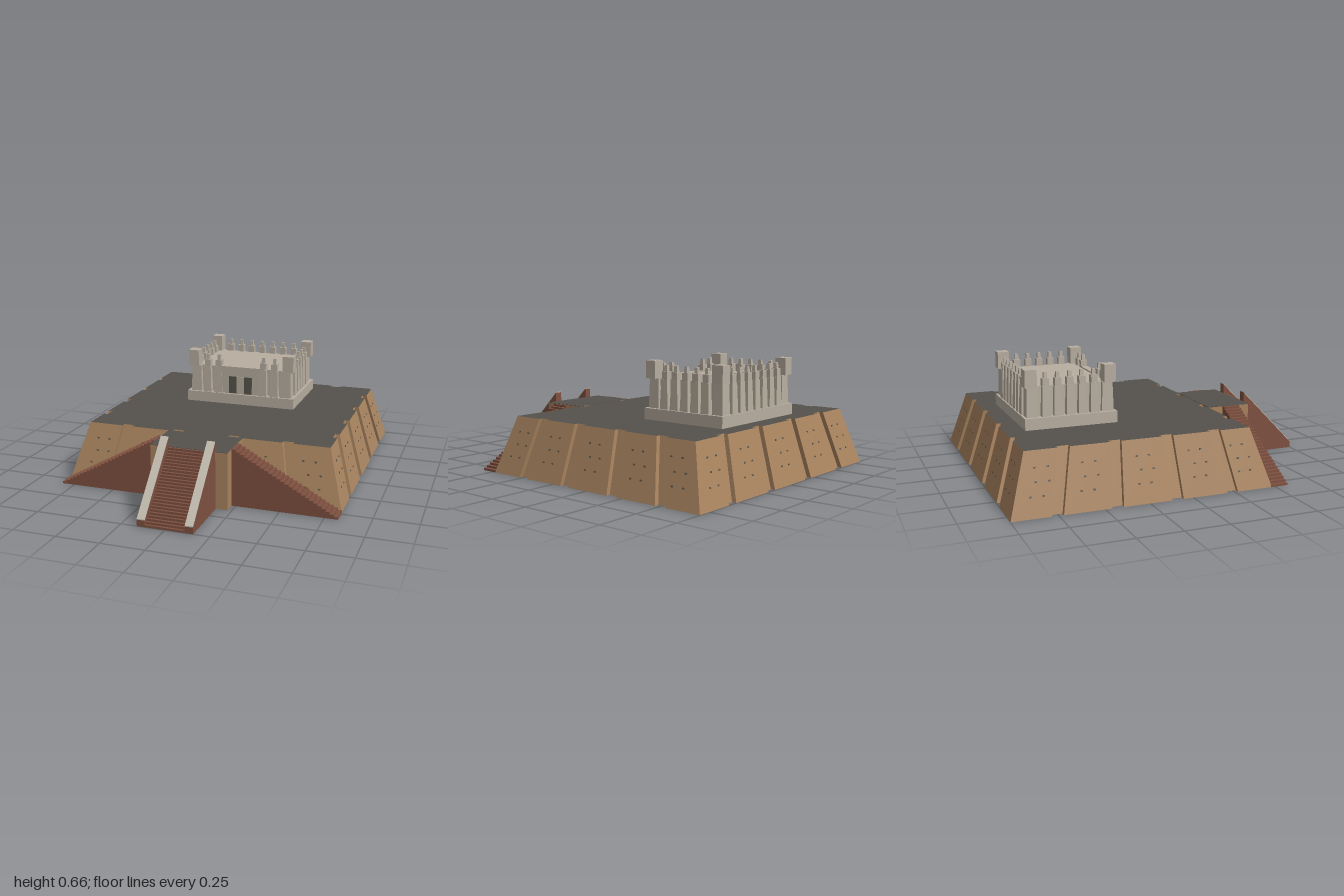
import * as THREE from 'three';

const mat = (name, color, side = THREE.FrontSide) => {
  const m = new THREE.MeshStandardMaterial({ color, side });
  m.name = name;
  return m;
};

export function createModel() {
  const model = new THREE.Group();
  const mudBrick = mat('mud brick', 0xa9845f, THREE.DoubleSide);
  const redBrick = mat('red brick', 0x7f5140, THREE.DoubleSide);
  const paving = mat('paving', 0x55524c, THREE.DoubleSide);
  const stone = mat('temple stone', 0xb8aea0);
  const coping = mat('pale coping', 0xc2bbae);
  const dark = mat('door and weep hole dark', 0x55534b);

  const add = (name, geo, material, x = 0, y = 0, z = 0, parent = model) => {
    const mesh = new THREE.Mesh(geo, material);
    mesh.name = name;
    mesh.position.set(x, y, z);
    parent.add(mesh);
    return mesh;
  };
  const box = (name, material, w, h, d, x, y, z, parent) =>
    add(name, new THREE.BoxGeometry(w, h, d), material, x, y + h / 2, z, parent);

  // Flat-faced strip between two matching rows of points
  const skin = (a, b) => {
    const pos = [];
    for (let i = 0; i < a.length - 1; i++)
      for (const p of [a[i], a[i + 1], b[i + 1], a[i], b[i + 1], b[i]]) pos.push(...p);
    const g = new THREE.BufferGeometry();
    g.setAttribute('position', new THREE.Float32BufferAttribute(pos, 3));
    g.computeVertexNormals();
    return g;
  };
  const polygon = pts => new THREE.Shape(pts.map(p => new THREE.Vector2(...p)));
  const extrude = (pts, depth) =>
    new THREE.ExtrudeGeometry(polygon(pts), { depth, bevelEnabled: false });
  // Profile drawn as (z, y), swept along x and centred
  const sweepX = (pts, width) =>
    extrude(pts.map(([z, y]) => [-z, y]), width).rotateY(Math.PI / 2).translate(-width / 2, 0, 0);

  // Sloping terrace walls with vertical grooves
  const H = 0.33, CZ = -0.26, GROOVES = [-0.67, -0.23, 0.23, 0.67];
  const base = { x: 0.825, z: 0.74 }, top = { x: 0.73, z: 0.64 };
  const ring = (half, y) => {
    const pts = [], w = 0.032, depth = 0.026;
    for (let k = 0; k < 4; k++) {
      const a = k * Math.PI / 2, s = Math.sin(a), c = Math.cos(a);
      const len = k % 2 ? half.z : half.x, dist = k % 2 ? half.x : half.z;
      const put = (t, inset) => pts.push([
        t * c + (dist - inset) * s, y, CZ - t * s + (dist - inset) * c]);
      put(-len, 0);
      for (const f of GROOVES) {
        put(f * len - w, 0);
        put(f * len - w, depth);
        put(f * len + w, depth);
        put(f * len + w, 0);
      }
    }
    pts.push(pts[0]);
    return pts;
  };
  const topRing = ring(top, H);
  add('terraceWalls', skin(ring(base, 0), topRing), mudBrick);
  add('terracePaving', new THREE.ShapeGeometry(polygon(
    topRing.slice(0, -1).map(([x, , z]) => [x, -z]))).rotateX(-Math.PI / 2), paving, 0, H, 0);

  // Rows of weep holes on each wall
  for (let k = 0; k < 4; k++) {
    const side = new THREE.Group();
    side.name = 'weepHoles';
    side.position.z = CZ;
    side.rotation.y = k * Math.PI / 2;
    model.add(side);
    const L = k % 2 ? [base.z, top.z] : [base.x, top.x];
    const D = k % 2 ? [base.x, top.x] : [base.z, top.z];
    [0.105, 0.175, 0.245].forEach((y, row) => {
      const f = y / H;
      const len = L[0] + (L[1] - L[0]) * f, dist = D[0] + (D[1] - D[0]) * f;
      for (const panel of [-0.83, -0.45, 0, 0.45, 0.83])
        for (const o of [-0.035, 0.035]) {
          const hole = add('weepHole', new THREE.BoxGeometry(0.013, 0.009, 0.004), dark,
            panel * len + o + (row % 2 ? 0.012 : -0.006), y, dist, side);
          hole.rotation.x = -Math.atan((D[0] - D[1]) / H);
        }
    });
  }

  // Gatehouse projecting from the front wall
  add('gatehouse', sweepX([[0.48, 0], [0.65, 0], [0.65, H], [0.38, H]], 0.45), mudBrick);
  box('gatehousePaving', paving, 0.45, 0.002, 0.27, 0, H, 0.515);

  // Side staircases rising toward the gatehouse
  const N = 26, run = 0.6 / N, rise = H / N;
  for (const s of [-1, 1]) {
    const pts = [[s * 0.225, 0], [s * 0.825, 0]];
    for (let i = 0; i < N; i++) {
      const x = s * (0.825 - i * run);
      if (i) pts.push([x, i * rise]);
      pts.push([x, (i + 1) * rise]);
    }
    pts.push([s * 0.225, H]);
    add('sideStair', extrude(pts, 0.105), redBrick, 0, 0, 0.475);
  }

  // Central staircase, open underneath
  const M = 26, steps = [[1, 0]];
  for (let i = 0; i < M; i++) {
    const y = (i + 1) * H / M;
    steps.push([1 - i * 0.35 / M, y], [1 - (i + 1) * 0.35 / M, y]);
  }
  const stepRow = x => steps.map(([z, y]) => [x, y, z]);
  add('centralStair', skin(stepRow(0.113), stepRow(-0.113)), redBrick);

  // Balustrades with pale sloping copings
  for (const s of [-1, 1]) {
    add('balustrade', sweepX([[0.655, 0], [1, 0], [1, 0.037], [0.655, 0.387]], 0.046),
      redBrick, s * 0.135);
    add('balustradeCoping', sweepX([[0.655, 0.387], [1, 0.037], [1, 0.042], [0.655, 0.392]], 0.046),
      coping, s * 0.135);
  }

  // Temple
  const temple = new THREE.Group();
  temple.name = 'temple';
  temple.position.set(0, H, -0.5225);
  model.add(temple);
  const P = 0.065, WALL = 0.167, ROOF = P + WALL;
  box('plinth', stone, 0.704, P, 0.535, 0, 0, 0, temple);
  box('templeBody', stone, 0.61, WALL, 0.452, 0, P, 0, temple);

  const tapered = (name, bottom, topW, h, x, y, z) => {
    const k = Math.SQRT1_2;
    const g = new THREE.CylinderGeometry(topW * k, bottom * k, h, 4, 1)
      .rotateY(Math.PI / 4).toNonIndexed();
    g.computeVertexNormals();
    add(name, g, stone, x, y + h / 2, z, temple);
  };

  // Corner piers and towers
  for (const sx of [-1, 1])
    for (const sz of [-1, 1]) {
      tapered('cornerPier', 0.07, 0.06, WALL, sx * 0.295, P, sz * 0.218);
      box('cornerTower', stone, 0.068, 0.1, 0.068, sx * 0.311, ROOF, sz * 0.228, temple);
    }

  // Pilasters, each topped by a stepped merlon
  const bay = (x, z) => {
    tapered('pilaster', 0.054, 0.042, WALL, x, P, z);
    box('merlonBase', stone, 0.038, 0.044, 0.038, x, ROOF, z, temple);
    tapered('merlonTop', 0.022, 0.018, 0.034, x, ROOF + 0.044, z);
  };
  for (let i = -3; i <= 3; i++) {
    bay(i * 0.0735, -0.233);
    if (Math.abs(i) > 1) bay(i * 0.0735, 0.233);
  }
  for (let i = -2; i <= 2; i++)
    for (const s of [-1, 1]) bay(s * 0.311, i * 0.07);

  // Doorway block with dark openings and a central jamb
  box('doorBlock', stone, 0.256, 0.175, 0.04, 0, P, 0.233, temple);
  for (const s of [-1, 1])
    box('doorOpening', dark, 0.05, 0.11, 0.004, s * 0.051, P + 0.003, 0.254, temple);
  box('doorJamb', stone, 0.05, 0.11, 0.006, 0, P + 0.003, 0.254, temple);

  return model;
}
